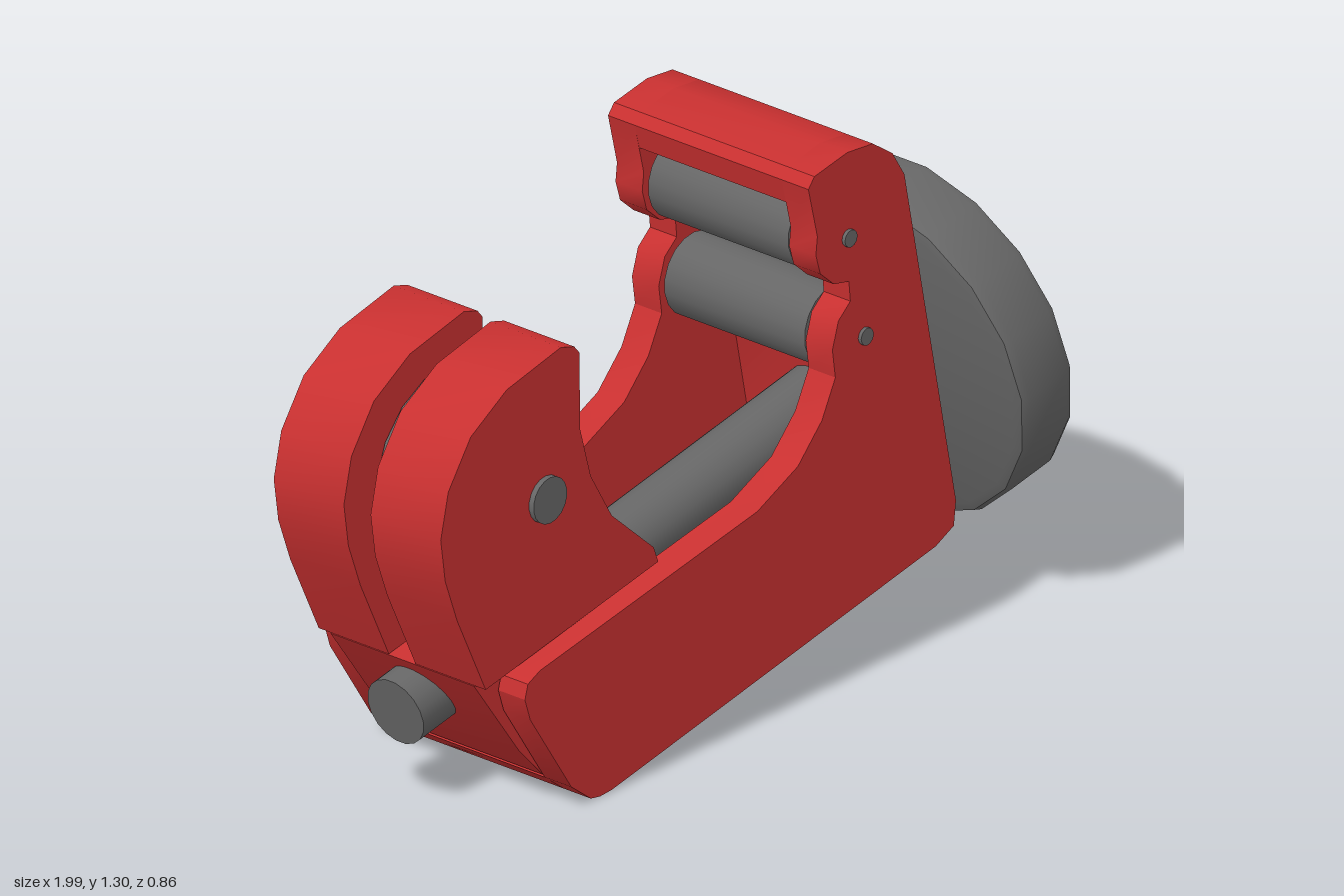
import * as THREE from 'three';
import { toCreasedNormals } from 'three/addons/utils/BufferGeometryUtils.js';

const TILT = THREE.MathUtils.degToRad(12);
const CREASE = THREE.MathUtils.degToRad(32);

export function createModel() {
  const model = new THREE.Group();
  model.name = 'pipeCutter';

  const red = new THREE.MeshStandardMaterial({ color: 0xc83030 });
  red.name = 'red paint';
  const grey = new THREE.MeshStandardMaterial({ color: 0x666666 });
  grey.name = 'dark steel';

  const add = (parent, name, geometry, material) => {
    const mesh = new THREE.Mesh(toCreasedNormals(geometry, CREASE), material);
    mesh.name = name;
    parent.add(mesh);
    return mesh;
  };

  // Side profile extruded between two z planes
  const plate = (parent, name, points, z0, z1) => {
    const shape = new THREE.Shape(points.map(([x, y]) => new THREE.Vector2(x, y)));
    const geometry = new THREE.ExtrudeGeometry(shape, { depth: z1 - z0, bevelEnabled: false });
    geometry.translate(0, 0, z0);
    return add(parent, name, geometry, red);
  };

  // Cylinder lying across the tool, along z
  const crossPin = (parent, name, x, y, radius, halfLength, sides = 18) => {
    const geometry = new THREE.CylinderGeometry(radius, radius, halfLength * 2, sides);
    geometry.rotateX(Math.PI / 2);
    geometry.translate(x, y, 0);
    return add(parent, name, geometry, grey);
  };

  // Frame: two cheeks joined by a floor, back wall and top cap
  const frame = new THREE.Group();
  frame.name = 'frame';
  model.add(frame);
  const outer = [
    [-0.62, 0.055], [-0.555, 0.005], [-0.525, 0], [-0.485, 0.003], [0.595, 0.235], [0.655, 0.265],
    [0.662, 0.325], [0.49, 1.18], [0.45, 1.245], [0.385, 1.29], [0.3, 1.297],
    [0.19, 1.275], [0.17, 1.25],
  ];
  const mouth = [
    [0.2, 1.125], [0.195, 1.08], [0.21, 1.03], [0.255, 0.99], [0.305, 0.98],
    [0.31, 0.93], [0.27, 0.895], [0.25, 0.83], [0.26, 0.76], [0.215, 0.67],
    [0.135, 0.585], [0, 0.52], [-0.725, 0.375], [-0.765, 0.355], [-0.775, 0.32], [-0.757, 0.265],
  ];
  const lining = [
    [0.185, 1.19], [0.35, 1.215], [0.4, 1.16], [0.56, 0.36], [0.53, 0.315], [-0.5, 0.09],
  ];
  plate(frame, 'leftCheek', [...outer, ...mouth], 0.22, 0.3);
  plate(frame, 'rightCheek', [...outer, ...mouth], -0.3, -0.22);
  plate(frame, 'frameShell', [...outer, ...lining], -0.22, 0.22);

  // Sliding jaw: two halves on a block that runs inside the frame
  const jaw = new THREE.Group();
  jaw.name = 'slidingJaw';
  model.add(jaw);
  const jawProfile = [
    [-0.85, 0.355], [-0.275, 0.475], [-0.29, 0.515], [-0.43, 0.64], [-0.5, 0.76],
    [-0.535, 0.885], [-0.538, 1.075], [-0.555, 1.095], [-0.6, 1.108], [-0.78, 1.065],
    [-0.9, 0.99], [-0.975, 0.88], [-1, 0.77], [-0.985, 0.665], [-0.945, 0.555],
  ];
  plate(jaw, 'leftJawHalf', jawProfile, 0.04, 0.25);
  plate(jaw, 'rightJawHalf', jawProfile, -0.25, -0.04);
  plate(jaw, 'slideBlock', [
    [-0.85, 0.353], [-0.7, 0.145], [-0.62, 0.06], [-0.21, 0.16], [-0.277, 0.473],
  ], -0.215, 0.215);

  // Cutting wheel and its axle
  crossPin(jaw, 'cuttingWheel', -0.65, 0.755, 0.25, 0.036);
  crossPin(jaw, 'wheelAxle', -0.65, 0.755, 0.056, 0.264);

  // Guide rollers with pins through the cheeks
  for (const [x, y, name] of [[0.303, 1.088, 'upper'], [0.357, 0.83, 'lower']]) {
    crossPin(model, name + 'Roller', x, y, 0.1, 0.21);
    crossPin(model, name + 'RollerPin', x, y, 0.021, 0.309, 12);
  }

  // Feed screw and hand knob, turned about the tilted axis
  const feed = new THREE.Group();
  feed.name = 'feedScrew';
  feed.position.set(0.825, 0.594, 0);
  feed.rotation.z = TILT - Math.PI / 2;
  model.add(feed);
  const rod = (name, radius, from, to) => {
    const geometry = new THREE.CylinderGeometry(radius, radius, to - from, 18);
    geometry.translate(0, (from + to) / 2, 0);
    add(feed, name, geometry, grey);
  };
  rod('screw', 0.083, -1.735, -0.19);
  rod('knobNeck', 0.06, -0.2, -0.07);
  const knobProfile = [
    [0, -0.088], [0.4, -0.088], [0.421, -0.081], [0.43, -0.062],
    [0.43, 0.062], [0.424, 0.08], [0.405, 0.088], [0, 0.088],
  ].map(([r, h]) => new THREE.Vector2(r, h));
  add(feed, 'knob', new THREE.LatheGeometry(knobProfile, 18), grey);

  return model;
}
